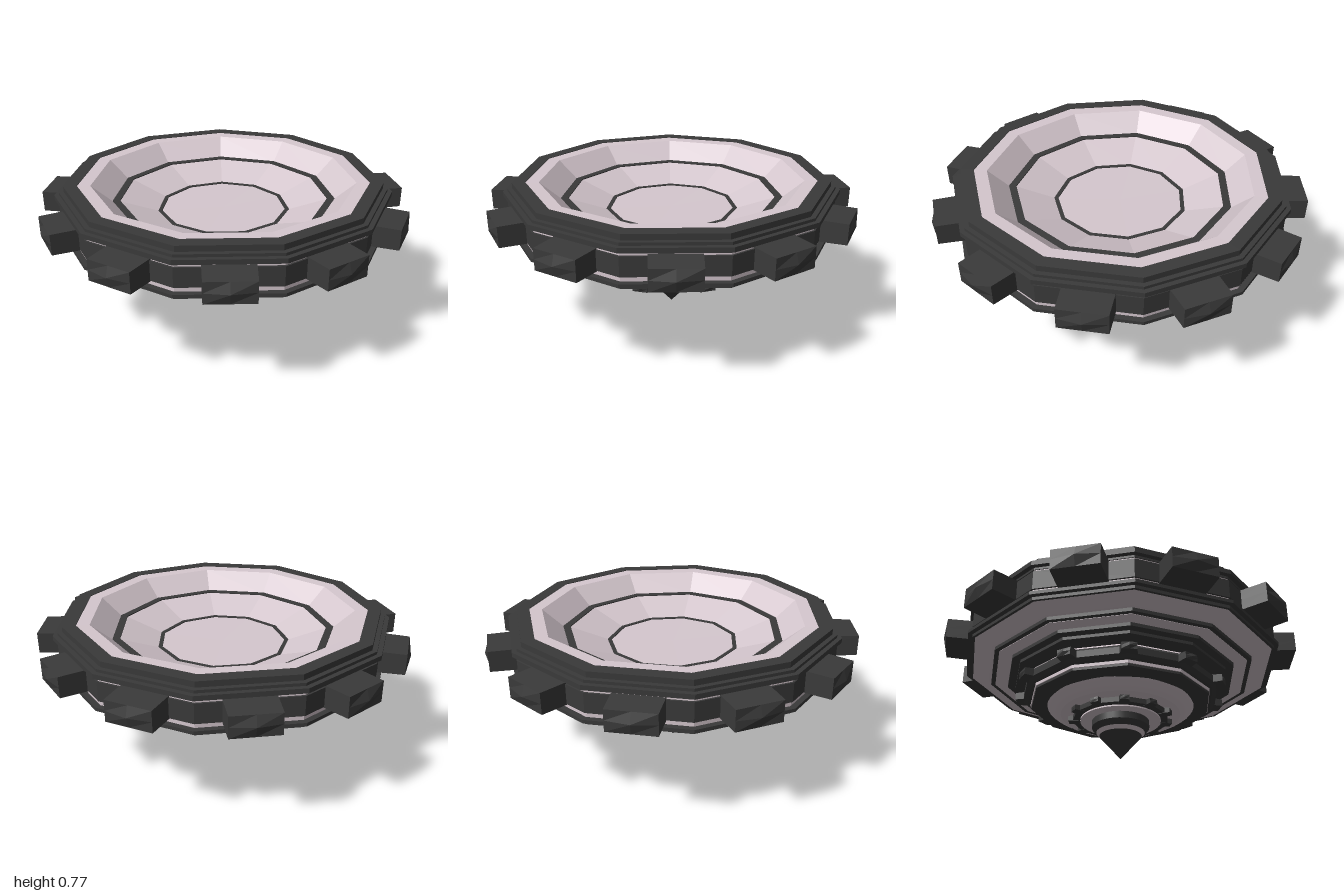
import * as THREE from 'three';

const SIDES = 11, STEP = Math.PI * 2 / SIDES;
const dark = new THREE.MeshStandardMaterial({ color: 0x3a3a3a, flatShading: true });
const light = new THREE.MeshStandardMaterial({ color: 0xd6c8cf, flatShading: true });
const darkSmooth = new THREE.MeshStandardMaterial({ color: 0x3a3a3a });
const lightSmooth = new THREE.MeshStandardMaterial({ color: 0xd6c8cf });

export function createModel() {
  const model = new THREE.Group();
  model.name = 'steppedDish';
  const body = new THREE.Group();
  body.name = 'body';
  body.position.z = -0.012;
  model.add(body);

  // Revolved part; profile runs counter-clockwise in (radius, height)
  function revolve(name, material, profile, segments = SIDES) {
    const points = profile.map(([r, y]) => new THREE.Vector2(r, y));
    const mesh = new THREE.Mesh(new THREE.LatheGeometry(points, segments, Math.PI), material);
    mesh.name = name;
    body.add(mesh);
  }
  // Closed ring of rectangular section
  function ring(name, material, rIn, rOut, y0, y1, segments) {
    revolve(name, material, [[rIn, y0], [rOut, y0], [rOut, y1], [rIn, y1], [rIn, y0]], segments);
  }
  // Block whose outer face swells to a shallow point
  function blockGeometry(w, h, depth, outer, taper, peak) {
    const g = new THREE.BoxGeometry(w, h, depth, 2, 2, 1);
    const p = g.attributes.position;
    for (let i = 0; i < p.count; i++) {
      if (p.getZ(i) < 0) continue;
      p.setX(i, p.getX(i) * taper);
      p.setY(i, p.getY(i) * taper);
      if (p.getX(i) === 0 && p.getY(i) === 0) p.setZ(i, p.getZ(i) + peak);
    }
    return g.translate(0, 0, outer - depth / 2);
  }
  function blocks(name, geometry, y, offset) {
    const group = new THREE.Group();
    group.name = name + 's';
    for (let i = 0; i < SIDES; i++) {
      const mesh = new THREE.Mesh(geometry, dark);
      mesh.name = name;
      mesh.position.y = y;
      mesh.rotation.y = (i + offset) * STEP;
      group.add(mesh);
    }
    body.add(group);
  }

  // Dish interior: lip, upper slope, lower slope and floor
  revolve('dishInterior', light, [
    [0.79, 0.772], [0.715, 0.77], [0.6, 0.67], [0.565, 0.67], [0.355, 0.597], [0, 0.595],
  ]);
  ring('interiorBand', dark, 0.565, 0.605, 0.65, 0.675);
  ring('floorBand', dark, 0.34, 0.362, 0.58, 0.601);

  // Stepped rim
  ring('rimTop', dark, 0.785, 0.855, 0.74, 0.775);
  ring('rimMiddle', dark, 0.8, 0.88, 0.725, 0.745);
  ring('rimLower', dark, 0.8, 0.905, 0.705, 0.73);
  ring('rimBase', dark, 0.8, 0.88, 0.693, 0.705);
  ring('upperTrim', light, 0.8, 0.875, 0.55, 0.693);
  ring('blockBand', dark, 0.82, 0.885, 0.58, 0.682);
  blocks('rimBlock', blockGeometry(0.25, 0.115, 0.19, 0.987, 0.96, 0.018), 0.632, 0);

  // Underside steps
  ring('undersideRim', dark, 0.78, 0.905, 0.537, 0.555);
  ring('undersideLip', dark, 0.78, 0.88, 0.52, 0.537);
  revolve('undersideSlope', light, [[0.7, 0.495], [0.77, 0.495], [0.87, 0.521], [0.7, 0.521]]);
  ring('upperStep', dark, 0.6, 0.755, 0.476, 0.497);
  revolve('stepTrim', light, [[0.6, 0.474], [0.73, 0.474], [0.73, 0.478]]);
  ring('middleStep', dark, 0.5, 0.655, 0.455, 0.478);
  ring('lowerStep', dark, 0.4, 0.61, 0.438, 0.456);

  // Gear ring with small blocks on its corners
  revolve('gearCollar', light, [[0.54, 0.412], [0.525, 0.43], [0.5, 0.44]]);
  revolve('gearRing', dark, [
    [0.4, 0.335], [0.53, 0.345], [0.56, 0.358], [0.56, 0.395], [0.54, 0.415], [0.4, 0.42],
  ]);
  blocks('gearBlock', blockGeometry(0.105, 0.052, 0.12, 0.596, 0.75, 0.008), 0.378, 0.5);
  ring('gearTrim', light, 0.4, 0.515, 0.325, 0.342);
  revolve('gearPlate', dark, [[0.3, 0.297], [0.42, 0.3], [0.51, 0.312], [0.51, 0.326], [0.3, 0.33]]);

  // Lower bowl and studded collar
  revolve('lowerBowl', lightSmooth, [[0.335, 0.255], [0.36, 0.268], [0.39, 0.285], [0.415, 0.304]], 44);
  revolve('bowlBase', light, [[0, 0.256], [0.336, 0.256]], 44);
  ring('collar', dark, 0.1, 0.272, 0.226, 0.254);
  blocks('collarStud', blockGeometry(0.06, 0.034, 0.06, 0.292, 0.8, 0.003), 0.24, 0.5);
  ring('collarTrim', light, 0.1, 0.225, 0.218, 0.228, 44);

  // Pointed tip
  revolve('tipNeck', darkSmooth, [[0.135, 0.152], [0.16, 0.18]], 32);
  revolve('tipBarrel', darkSmooth, [[0.16, 0.18], [0.16, 0.222]], 32);
  revolve('tipBand', lightSmooth, [[0.118, 0.133], [0.135, 0.152]], 32);
  revolve('tipCone', darkSmooth, [[0, 0], [0.118, 0.133]], 32);
  return model;
}
